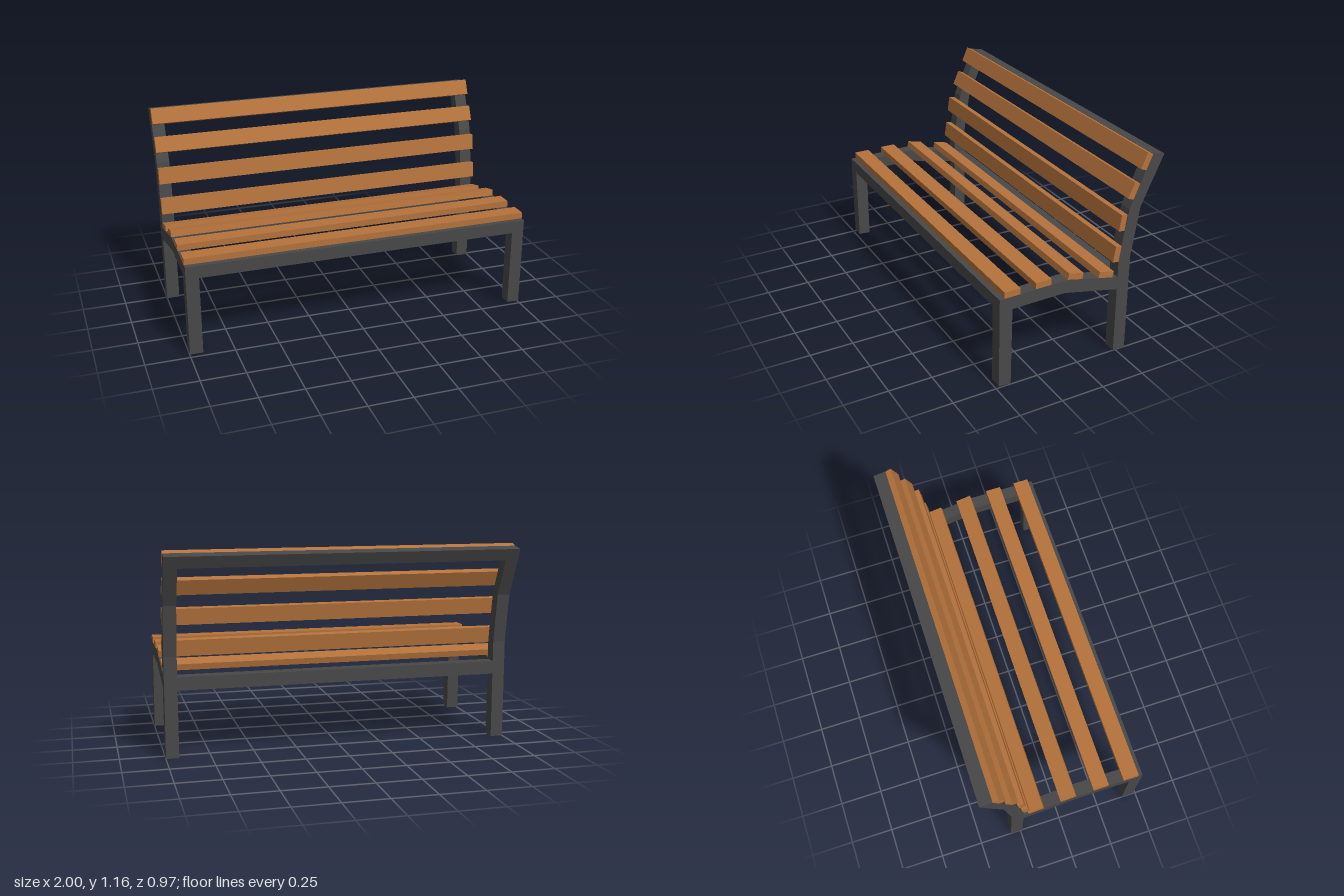
import * as THREE from 'three';

export function createModel() {
  const wood = new THREE.MeshStandardMaterial({ color: 0xb5733c });
  wood.name = 'wood';
  const metal = new THREE.MeshStandardMaterial({ color: 0x484848 });
  metal.name = 'dark metal';

  const bench = new THREE.Group();
  bench.name = 'bench';
  const BAR = 0.073; // width of the square frame tube

  // Extrudes a [z, y] outline along x, from xMin to xMax
  function profile(name, points, xMin, xMax) {
    const shape = new THREE.Shape(points.map(([z, y]) => new THREE.Vector2(z, y)));
    const geometry = new THREE.ExtrudeGeometry(shape, { depth: xMax - xMin, bevelEnabled: false });
    geometry.rotateY(-Math.PI / 2).translate(xMax, 0, 0);
    const mesh = new THREE.Mesh(geometry, metal);
    mesh.name = name;
    bench.add(mesh);
  }

  // Side frames: front leg and bent seat rail in one piece, rear leg and backrest post in another
  const seatSide = [
    [0.484, 0.009], [0.481, 0.532], [0.08, 0.538], [-0.236, 0.467],
    [-0.236, 0.392], [0.095, 0.464], [0.407, 0.46], [0.413, 0.004],
  ];
  const backPost = [
    [-0.236, 0], [-0.236, 0.575], [-0.285, 0.858], [-0.413, 1.145],
    [-0.484, 1.132], [-0.355, 0.858], [-0.31, 0.575], [-0.31, 0],
  ];
  for (const [side, xMin] of [['left', 1 - BAR], ['right', -1]]) {
    profile(side + 'FrontLegAndSeatRail', seatSide, xMin, xMin + BAR);
    profile(side + 'RearLegAndBackPost', backPost, xMin, xMin + BAR);
  }

  // Cross rails between the side frames
  const inner = 1 - BAR;
  profile('frontRail', [[0.481, 0.46], [0.481, 0.532], [0.407, 0.532], [0.407, 0.46]], -inner, inner);
  profile('rearRail', [[-0.236, 0.382], [-0.236, 0.457], [-0.31, 0.457], [-0.31, 0.382]], -inner, inner);
  profile('topRail', [[-0.383, 1.079], [-0.413, 1.145], [-0.484, 1.132], [-0.454, 1.066]], -inner, inner);

  // Wooden slats: [y, z, tilt in degrees]
  function slats(name, height, depth, places) {
    const geometry = new THREE.BoxGeometry(2, height, depth);
    places.forEach(([y, z, tilt], i) => {
      const mesh = new THREE.Mesh(geometry, wood);
      mesh.name = name + (i + 1);
      mesh.position.set(0, y, z);
      mesh.rotation.x = THREE.MathUtils.degToRad(tilt);
      bench.add(mesh);
    });
  }
  slats('seatSlat', 0.036, 0.092, [
    [0.552, 0.407, 0], [0.555, 0.225, 0], [0.546, 0.031, -13], [0.502, -0.161, -13],
  ]);
  slats('backSlat', 0.092, 0.036, [
    [0.608, -0.225, -8.5], [0.786, -0.251, -8.5], [0.957, -0.308, -24], [1.109, -0.377, -24],
  ]);

  return bench;
}
